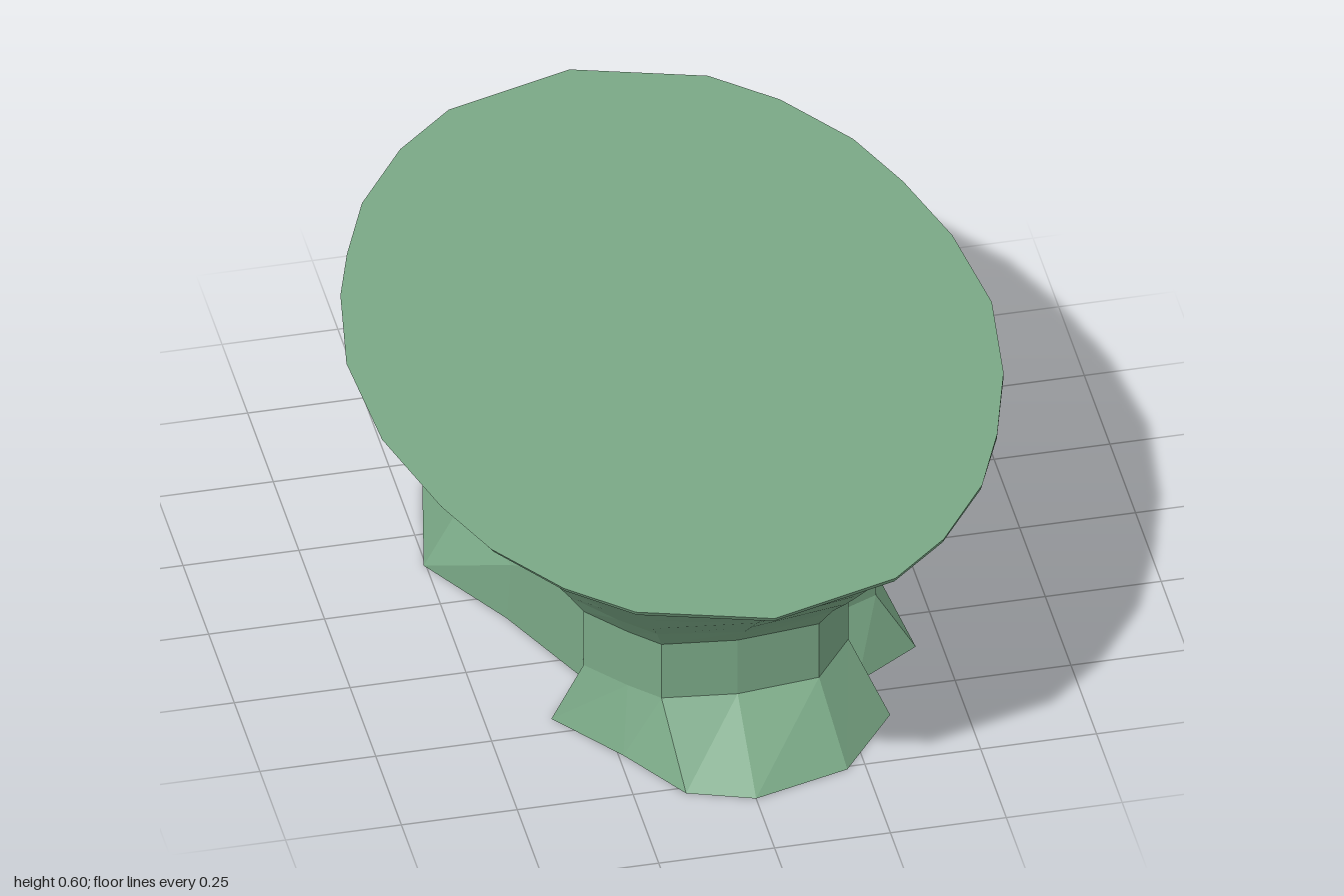
import * as THREE from 'three';

// Each outline lists [x, z] for four quarters, from the end of the long axis to the side.
// Signs are applied when the quarters are joined, so values are mostly positive.
const RIM_RIGHT = [[0, 1], [0.28, 0.915], [0.41, 0.8], [0.53, 0.63], [0.6, 0.46], [0.66, 0.25], [0.69, 0]];
const RIM = {
  frontRight: RIM_RIGHT,
  backRight: RIM_RIGHT,
  backLeft: [[0, 1], [0.28, 0.915], [0.41, 0.8], [0.53, 0.63], [0.6, 0.46], [0.645, 0.32]],
  frontLeft: [[0, 1], [0.28, 0.915], [0.41, 0.8], [0.53, 0.63], [0.6, 0.46], [0.67, 0.2], [0.685, -0.08]],
};
const NECK = {
  frontRight: [[0, 0.64], [0.18, 0.62], [0.27, 0.5], [0.25, 0.41], [0.36, 0.36], [0.37, 0.2], [0.37, 0]],
  backRight: [[0, 0.64], [0.15, 0.63], [0.24, 0.52], [0.29, 0.43], [0.36, 0.37], [0.37, 0.2]],
  backLeft: [[0, 0.64], [0.09, 0.62], [0.1, 0.56], [0.1, 0.51], [0.19, 0.36], [0.34, 0.38]],
  frontLeft: [[0, 0.64], [0.16, 0.62], [0.22, 0.56], [0.295, 0.47], [0.26, 0.33], [0.32, 0.09], [0.37, -0.14]],
};
const FOOT = {
  frontRight: [[0, 0.82], [0.21, 0.76], [0.34, 0.59], [0.3, 0.46], [0.445, 0.365], [0.42, 0.1], [0.455, -0.05]],
  backRight: [[0, 0.82], [0.09, 0.815], [0.21, 0.63], [0.27, 0.46], [0.445, 0.39], [0.435, 0.18]],
  backLeft: [[0, 0.81], [0.1, 0.785], [0.13, 0.63], [0.08, 0.54], [0.195, 0.38], [0.444, 0.43]],
  frontLeft: [[0, 0.82], [0.14, 0.77], [0.24, 0.61], [0.36, 0.45], [0.265, 0.32], [0.375, 0.08], [0.505, -0.14]],
};

// Join four quarters (front +x, back +x, back -x, front -x) into a closed ring
function ring({ frontRight, backRight, backLeft, frontLeft }) {
  const sign = (q, sx, sz) => q.map(([x, z]) => [x * sx, z * sz]);
  return [
    ...sign(frontRight, 1, 1),
    ...sign(backRight, 1, -1).slice(0, 6).reverse(),
    ...sign(backLeft, -1, -1).slice(1),
    ...sign(frontLeft, -1, 1).slice(1).reverse(),
  ];
}

const atHeight = (points, y) => points.map(([x, z]) => new THREE.Vector3(x, y, z));

// Faceted wall through a stack of rings, lowest first
function loft(rings) {
  const n = rings[0].length;
  const position = rings.flat().flatMap((p) => [p.x, p.y, p.z]);
  const index = [];
  for (let r = 0; r < rings.length - 1; r++) {
    for (let i = 0; i < n; i++) {
      const a = r * n + i, b = r * n + (i + 1) % n;
      index.push(a, b, b + n, a, b + n, a + n);
    }
  }
  const geometry = new THREE.BufferGeometry();
  geometry.setAttribute('position', new THREE.Float32BufferAttribute(position, 3));
  geometry.setIndex(index);
  geometry.computeVertexNormals();
  return geometry;
}

export function createModel() {
  const group = new THREE.Group();
  group.name = 'pedestalTable';
  const material = new THREE.MeshStandardMaterial({
    color: 0x7aa886, flatShading: true, side: THREE.DoubleSide,
  });
  const add = (name, geometry) => {
    const mesh = new THREE.Mesh(geometry, material);
    mesh.name = name;
    group.add(mesh);
  };

  const rim = ring(RIM);
  const neck = ring(NECK);
  const foot = ring(FOOT);

  // Lower neck leans out towards the lobe on the -x side
  const waist = neck.map(([x, z]) => [x < -0.3 ? x * 1.15 : x, z]);
  const waistRing = atHeight(waist, 0.145);
  const neckRing = atHeight(neck, 0.285);

  // Flared, lobed foot, open underneath
  add('foot', loft([atHeight(foot, 0), waistRing]));
  add('neck', loft([waistRing, neckRing]));

  // Bowl: rings blend from neck to rim, fuller on the +x side and hollower on the -x side
  const steps = [[0.35, 0.17], [0.41, 0.36], [0.47, 0.54], [0.53, 0.72], [0.568, 0.88], [0.588, 0.98]];
  const bowl = steps.map(([y, t], s) => rim.map(([x, z], i) => {
    const lean = 0.2 * Math.sin(Math.PI * t * t) * (x / 0.69) ** 3;
    const uneven = s < 5 ? Math.sin(i * 2.3 + s * 1.7) : 0;
    const k = Math.min(1, t + lean + 0.012 * uneven);
    const [nx, nz] = neck[i];
    return new THREE.Vector3(
      THREE.MathUtils.lerp(nx, x, k),
      y + 0.005 * uneven,
      THREE.MathUtils.lerp(nz, z, k));
  }));
  add('bowl', loft([neckRing, ...bowl, atHeight(rim, 0.6)]));

  // Flat oval top
  const top = new THREE.ShapeGeometry(new THREE.Shape(rim.map(([x, z]) => new THREE.Vector2(x, -z))));
  top.rotateX(-Math.PI / 2).translate(0, 0.6, 0);
  add('top', top);

  return group;
}
